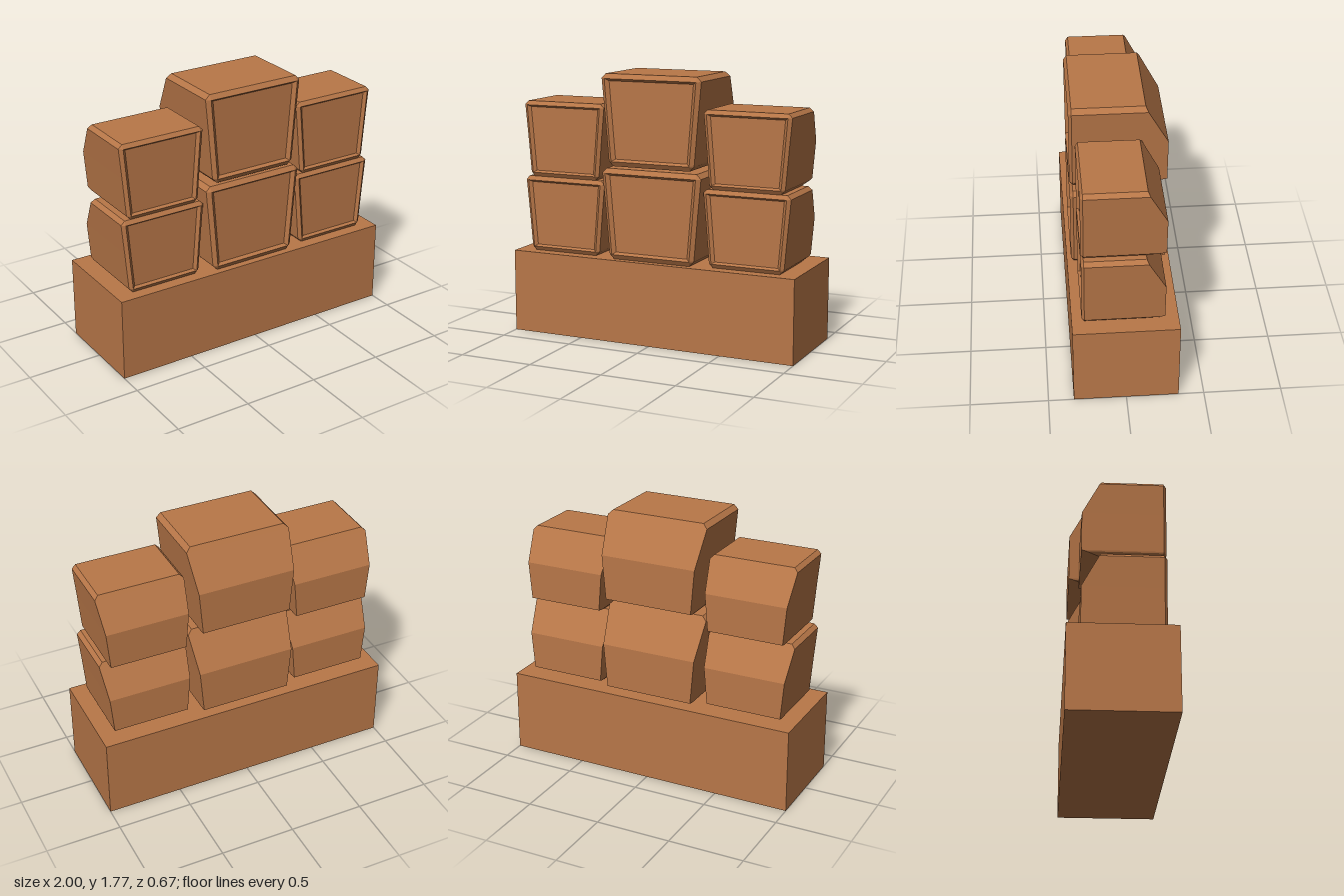
import * as THREE from 'three';

// Right half of the casing outline, top to bottom: x, y, and depth of the back
const HALF = [
  [0.32, 0.6, -0.165], [0.35, 0.57, -0.181], [0.328, 0.335, -0.31],
  [0.303, 0.04, -0.31], [0.3, 0.03, -0.274], [0.27, 0, -0.165],
];

// Trapezoid lying inside the outline, one point for each outline point
function insetRing(dx, dy, z) {
  return HALF.map(([, y]) => {
    const v = THREE.MathUtils.clamp(y, dy, 0.6 - dy);
    return [0.3 + 0.05 * (v / 0.6) - dx, v, z];
  });
}

const closeLoop = (half) => [...half, ...half.map(([x, y, z]) => [-x, y, z]).reverse()];

// Flat-faced geometry from four-cornered faces, dropping collapsed triangles
function fromQuads(quads) {
  const pos = [];
  for (const [a, b, c, d] of quads) {
    for (const tri of [[a, b, c], [a, c, d]]) {
      const t = new THREE.Triangle(...tri.map((p) => new THREE.Vector3(...p)));
      if (t.getArea() > 1e-7) pos.push(...tri.flat());
    }
  }
  const geo = new THREE.BufferGeometry();
  geo.setAttribute('position', new THREE.Float32BufferAttribute(pos, 3));
  geo.computeVertexNormals();
  return geo;
}

// Strips across from the right half to its mirror, facing front or back
function capQuads(half, front) {
  const quads = [];
  for (let i = 0; i < half.length - 1; i++) {
    const [a, b] = [half[i], half[i + 1]];
    const q = [a, [-a[0], a[1], a[2]], [-b[0], b[1], b[2]], b];
    quads.push(front ? q : q.reverse());
  }
  return quads;
}

export function createModel() {
  const model = new THREE.Group();
  model.name = 'monitorWall';
  const brown = new THREE.MeshStandardMaterial({ color: 0xb87748 });
  brown.name = 'copper brown';

  // Rings from the recessed screen over the rim to the back
  const screenRing = insetRing(0.05, 0.047, 0.29);
  const rings = [
    screenRing,
    insetRing(0.026, 0.032, 0.31),
    HALF.map(([x, y]) => [x, y, 0.29]),
    HALF,
  ].map(closeLoop);
  const casingQuads = capQuads(HALF, false);
  for (let r = 0; r < rings.length - 1; r++) {
    const [A, B] = [rings[r], rings[r + 1]];
    A.forEach((p, i) => {
      const j = (i + 1) % A.length;
      casingQuads.push([p, A[j], B[j], B[i]]);
    });
  }
  const casingGeo = fromQuads(casingQuads);
  const screenGeo = fromQuads(capQuads(screenRing, true));

  function addMonitor(name, x, y, z, scale) {
    const monitor = new THREE.Group();
    monitor.name = name;
    const casing = new THREE.Mesh(casingGeo, brown);
    casing.name = 'casing';
    const screen = new THREE.Mesh(screenGeo, brown);
    screen.name = 'screen';
    monitor.add(casing, screen);
    monitor.position.set(x, y, z);
    monitor.scale.setScalar(scale);
    model.add(monitor);
  }

  // Plinth
  const base = new THREE.Mesh(new THREE.BoxGeometry(2, 0.553, 0.674), brown);
  base.name = 'base';
  base.position.y = 0.553 / 2;
  model.add(base);

  // Large monitors in the middle, small ones on both sides
  addMonitor('lowerMiddleMonitor', 0, 0.553, 0, 1);
  addMonitor('upperMiddleMonitor', 0, 1.168, 0, 1);
  for (const [side, x] of [['Left', 0.648], ['Right', -0.648]]) {
    addMonitor(`lower${side}Monitor`, x, 0.553, 0.013, 0.842);
    addMonitor(`upper${side}Monitor`, x, 1.058, 0.013, 0.842);
  }
  return model;
}
